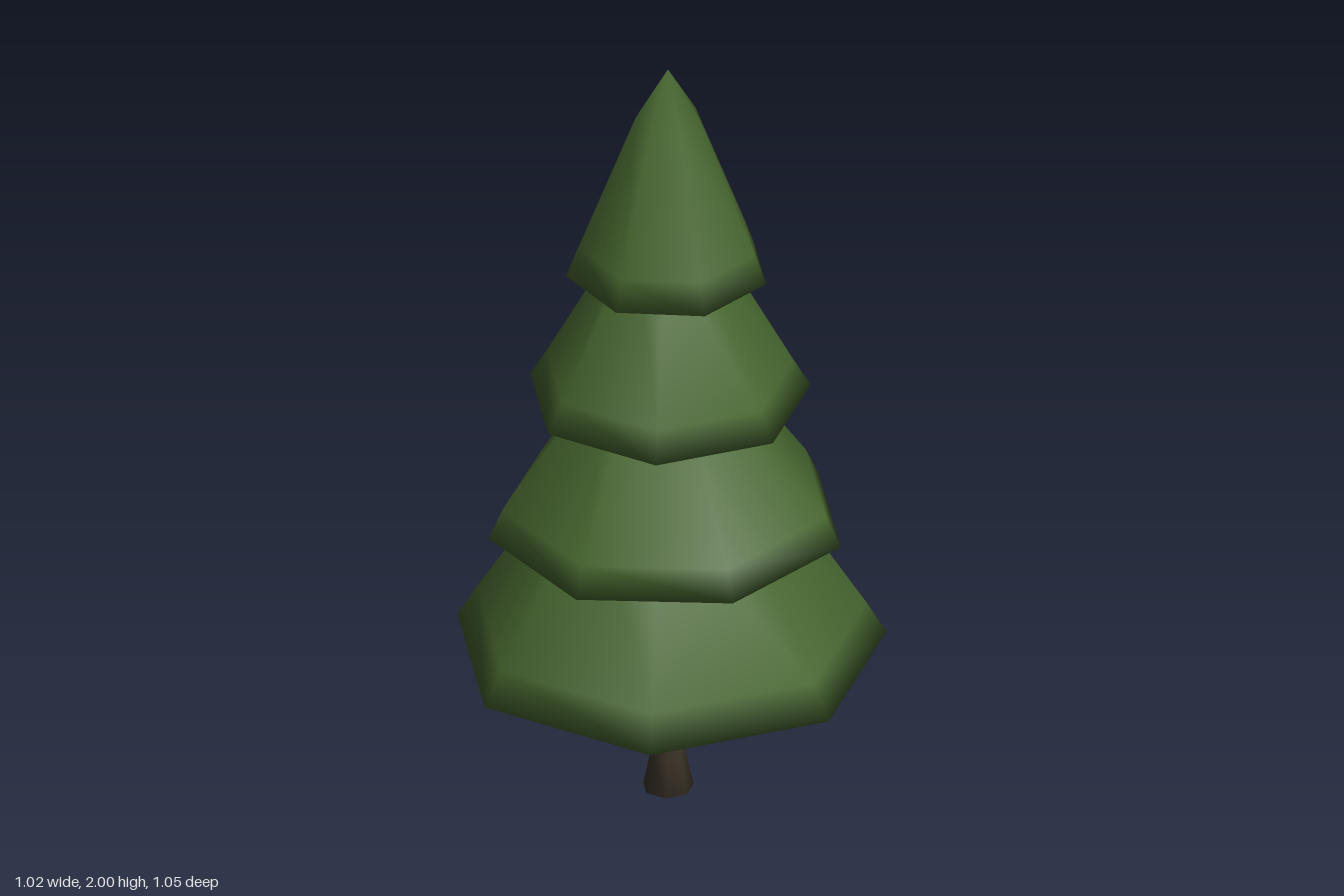
import * as THREE from 'three';
import { mergeVertices } from 'three/addons/utils/BufferGeometryUtils.js';

const SIDES = 7;

// Seven-sided turned solid with welded corners, so shading is smooth all over
function turned(name, profile, material, startAngle) {
  const points = profile.map(([r, y]) => new THREE.Vector2(r, y));
  // Lathe angles start on +z; shift so the first corner lies at startAngle from +x
  let geometry = new THREE.LatheGeometry(points, SIDES, startAngle + Math.PI / 2);
  geometry.deleteAttribute('uv');
  geometry.deleteAttribute('normal');
  geometry = mergeVertices(geometry, 1e-4);
  geometry.computeVertexNormals();
  const mesh = new THREE.Mesh(geometry, material);
  mesh.name = name;
  return mesh;
}

export function createModel() {
  const foliage = new THREE.MeshStandardMaterial({ color: 0x47662f });
  foliage.name = 'foliage green';
  const bark = new THREE.MeshStandardMaterial({ color: 0x3b3328 });
  bark.name = 'bark brown';

  const tree = new THREE.Group();
  tree.name = 'pineTree';

  // Trunk with flared foot
  tree.add(turned('trunk', [[0, 0], [0.063, 0], [0.044, 0.09], [0.042, 0.42], [0, 0.42]], bark, 0));

  // Branch tiers, bottom to top: shallow underside, rim, steep lip, long slope
  const tiers = [
    { name: 'lowestTier', turn: 0, tilt: 0,
      profile: [[0, 0.33], [0.536, 0.388], [0.486, 0.475], [0.22, 0.9], [0, 0.95]] },
    { name: 'lowerTier', turn: Math.PI, tilt: 0.025,
      profile: [[0, 0.69], [0.44, 0.732], [0.405, 0.808], [0.13, 1.2], [0, 1.25]] },
    { name: 'upperTier', turn: 0, tilt: 0,
      profile: [[0, 1.045], [0.35, 1.092], [0.308, 1.165], [0.1, 1.55], [0, 1.6]] },
    { name: 'topTier', turn: Math.PI, tilt: 0,
      profile: [[0, 1.41], [0.25, 1.443], [0.22, 1.52], [0.08, 1.87], [0, 2]] },
  ];
  for (const { name, turn, tilt, profile } of tiers) {
    const rimY = profile[1][1];
    const mesh = turned(name, profile.map(([r, y]) => [r, y - rimY]), foliage, turn);
    mesh.position.y = rimY;
    mesh.rotation.z = tilt;
    tree.add(mesh);
  }

  tree.position.set(-0.021, 0, -0.005);
  const model = new THREE.Group();
  model.add(tree);
  return model;
}
